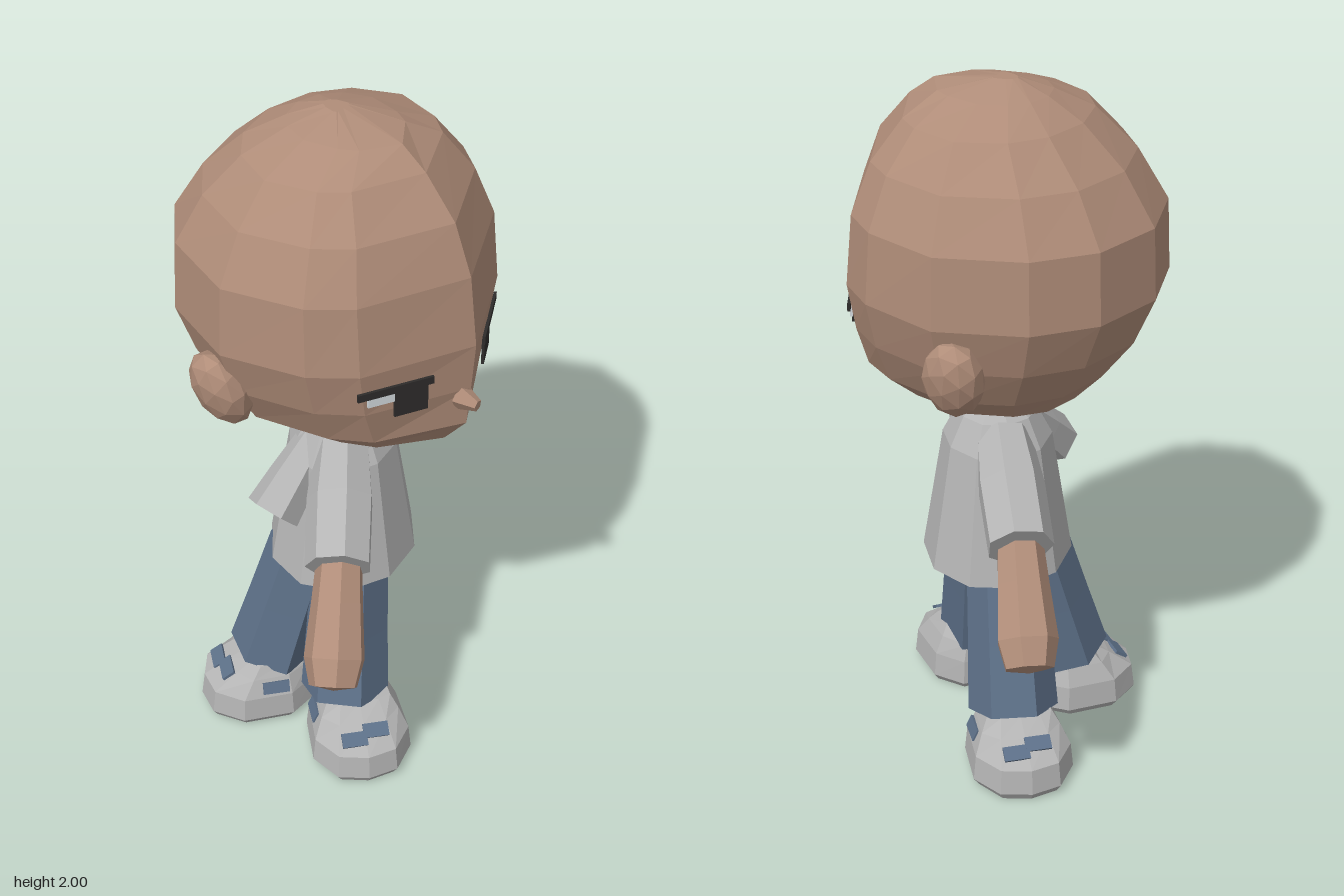
import * as THREE from 'three';

const mat = (name, color) => {
  const m = new THREE.MeshStandardMaterial({ color });
  m.name = name;
  return m;
};

// Faceted normals: every triangle gets its own
const facet = (geo) => {
  const g = geo.index ? geo.toNonIndexed() : geo;
  g.computeVertexNormals();
  return g;
};

// Stacked rings [y, back, front, halfWidth] sharing one mirrored footprint (front is +x)
function loft(levels, half) {
  const mirrored = half.slice(1, -1).reverse().map(([x, z]) => [x, -z]);
  const ring = [...half, ...mirrored];
  const n = ring.length, pos = [], idx = [];
  for (const [y, back, front, w] of levels) {
    for (const [x, z] of ring) pos.push(x > 0 ? x * front : -x * back, y, z * w);
  }
  const last = (levels.length - 1) * n, bottom = levels.length * n;
  for (const L of [levels[0], levels[levels.length - 1]]) pos.push((L[1] + L[2]) / 2, L[0], 0);
  for (let j = 0; j < n; j++) {
    const k = (j + 1) % n;
    for (let i = 0; i < last; i += n) idx.push(i + j, i + n + j, i + k, i + k, i + n + j, i + n + k);
    idx.push(bottom, j, k, bottom + 1, last + k, last + j);
  }
  const g = new THREE.BufferGeometry();
  g.setAttribute('position', new THREE.Float32BufferAttribute(pos, 3));
  g.setIndex(idx);
  return facet(g);
}

// Turned limb from a to b; profile is [radius, fraction of the length]
function limb(a, b, profile, sides) {
  const A = new THREE.Vector3(...a), dir = new THREE.Vector3(...b).sub(A);
  const len = dir.length();
  const g = new THREE.LatheGeometry(profile.map(([r, t]) => new THREE.Vector2(r, t * len)), sides);
  g.applyQuaternion(new THREE.Quaternion().setFromUnitVectors(new THREE.Vector3(0, 1, 0), dir.normalize()));
  g.translate(...a);
  return facet(g);
}

export function createModel() {
  const model = new THREE.Group();
  model.name = 'figure';
  const skin = mat('skin', 0xb08d79);
  const shirt = mat('shirt grey', 0xb4b4b4);
  const denim = mat('denim blue', 0x5d7088);
  const dark = mat('eye dark', 0x2e2c2b);
  const white = mat('eye white', 0xd4dade);
  const add = (name, geo, material, parent = model) => {
    const m = new THREE.Mesh(geo, material);
    m.name = name;
    parent.add(m);
    return m;
  };

  // Head with a wedge-shaped face towards +x
  add('head', loft([
    [1.08, -0.04, 0.24, 0.13], [1.115, -0.24, 0.35, 0.22], [1.2, -0.32, 0.42, 0.33],
    [1.32, -0.41, 0.43, 0.4], [1.46, -0.47, 0.44, 0.445], [1.66, -0.46, 0.415, 0.435],
    [1.8, -0.37, 0.36, 0.37], [1.91, -0.25, 0.265, 0.28], [1.965, -0.15, 0.19, 0.14], [2, -0.06, 0, 0.03],
  ], [[1, 0], [0.67, 0.67], [0.42, 0.86], [-0.1, 1], [-0.6, 0.8], [-0.88, 0.48], [-1, 0]]), skin);

  const nose = add('nose', facet(new THREE.CylinderGeometry(0.018, 0.042, 0.06, 5)), skin);
  nose.rotation.z = -Math.PI / 2 - 0.1;
  nose.scale.z = 0.8;
  nose.position.set(0.435, 1.29, 0.015);
  add('neck', limb([0, 0.98, 0], [0, 1.14, 0], [[0.09, 0], [0.09, 1]], 8), skin);

  for (const s of [1, -1]) {
    const side = s > 0 ? 'right' : 'left';
    const ear = add(side + 'Ear', facet(new THREE.IcosahedronGeometry(1, 1)), skin);
    ear.scale.set(0.088, 0.122, 0.065);
    ear.rotation.set(s * 0.3, 0, 0.2);
    ear.position.set(-0.087, 1.315, s * 0.402);

    // Eye plates lie on the slanted cheek plane; o runs outward from the nose
    const eye = new THREE.Group();
    eye.name = side + 'Eye';
    eye.position.set(0.334, 0, s * 0.2);
    eye.rotation.y = Math.atan2(0.886, s * 0.463);
    model.add(eye);
    const plate = (name, o0, o1, y0, y1, z, m) => {
      add(name, new THREE.BoxGeometry(o1 - o0, y1 - y0, 0.008), m, eye)
        .position.set(-s * (o0 + o1) / 2, (y0 + y1) / 2, z);
    };
    plate('iris', -0.09, 0.005, 1.305, 1.385, 0.004, dark);
    plate('eyeWhite', 0.005, 0.08, 1.355, 1.385, 0.003, white);
    plate('eyelid', -0.105, 0.11, 1.383, 1.405, 0.007, dark);
  }

  // Shirt body, flattened from front to back
  const torso = add('shirtBody', limb([0, 0.575, 0], [0, 1.06, 0],
    [[0, 0], [0.25, 0.01], [0.21, 0.45], [0.18, 0.78], [0.13, 0.95], [0.08, 1], [0, 1]], 10), shirt);
  torso.rotation.y = -1.13;
  torso.scale.z = 0.86;

  // Two opposite arms with drooping sleeves
  for (const s of [1, -1]) {
    const side = s > 0 ? 'right' : 'left';
    add(side + 'Sleeve', limb([s * 0.055, 0.98, s * 0.07], [s * 0.24, 0.808, s * 0.317],
      [[0, 0], [0.08, 0], [0.095, 0.45], [0.093, 1], [0, 1]], 7), shirt);
    add(side + 'Arm', limb([s * 0.205, 0.84, s * 0.265], [s * 0.357, 0.54, s * 0.486],
      [[0, 0], [0.062, 0], [0.073, 0.4], [0.086, 0.78], [0.068, 0.97], [0, 1]], 7), skin);
  }
  // Short empty third sleeve
  add('emptySleeve', limb([-0.025, 1.005, 0.06], [-0.043, 0.815, 0.26],
    [[0, 0], [0.05, 0], [0.07, 0.6], [0.08, 1], [0, 1]], 6), shirt);

  // Hips, then three trouser legs with shoes
  add('hips', limb([0, 0.5, 0], [0, 0.59, 0], [[0, 0], [0.13, 0], [0.19, 0.6], [0.19, 1], [0, 1]], 10), denim);
  const shoe = loft([
    [0, -0.14, 0.165, 0.13], [0.025, -0.16, 0.18, 0.147], [0.1, -0.155, 0.17, 0.14],
    [0.155, -0.145, 0.09, 0.115], [0.19, -0.12, 0.03, 0.095],
  ], [[1, 0], [0.88, 0.6], [0.4, 1], [-0.5, 0.95], [-1, 0.5], [-1, 0]]);
  // Side, ankle, foot position, toe direction and the flank that carries a lace
  const legs = [
    ['right', [0.14, 0.165], [0.205, 0.185], 0.7, 1],
    ['left', [-0.148, -0.18], [-0.185, -0.22], 0.85 + Math.PI, 1],
    ['rear', [-0.143, 0.165], [-0.16, 0.205], 2.27, -1],
  ];
  for (const [side, ankle, [x, z], angle, flank] of legs) {
    add(side + 'Leg', limb([ankle[0], 0.17, ankle[1]], [Math.cos(angle) * 0.105, 0.57, Math.sin(angle) * 0.105],
      [[0, 0], [0.13, 0], [0.12, 0.5], [0.112, 1], [0, 1]], 6), denim);
    const foot = new THREE.Group();
    foot.name = side + 'Foot';
    foot.position.set(x, 0, z);
    foot.rotation.y = -angle;
    model.add(foot);
    add('shoe', shoe, shirt, foot);
    // Stepped lace over the sloping toe
    for (const [px, pz] of [[0.105, -0.033], [0.122, 0.033]]) {
      const lace = add('toeLace', new THREE.BoxGeometry(0.042, 0.009, 0.075), denim, foot);
      lace.position.set(px, 0.156 - (px - 0.09) * 0.69, pz);
      lace.rotation.z = -0.6;
    }
    const sideLace = add('sideLace', new THREE.BoxGeometry(0.08, 0.036, 0.009), denim, foot);
    sideLace.position.set(-0.03, 0.128, flank * 0.126);
    sideLace.rotation.x = -flank * 0.43;
  }
  return model;
}
